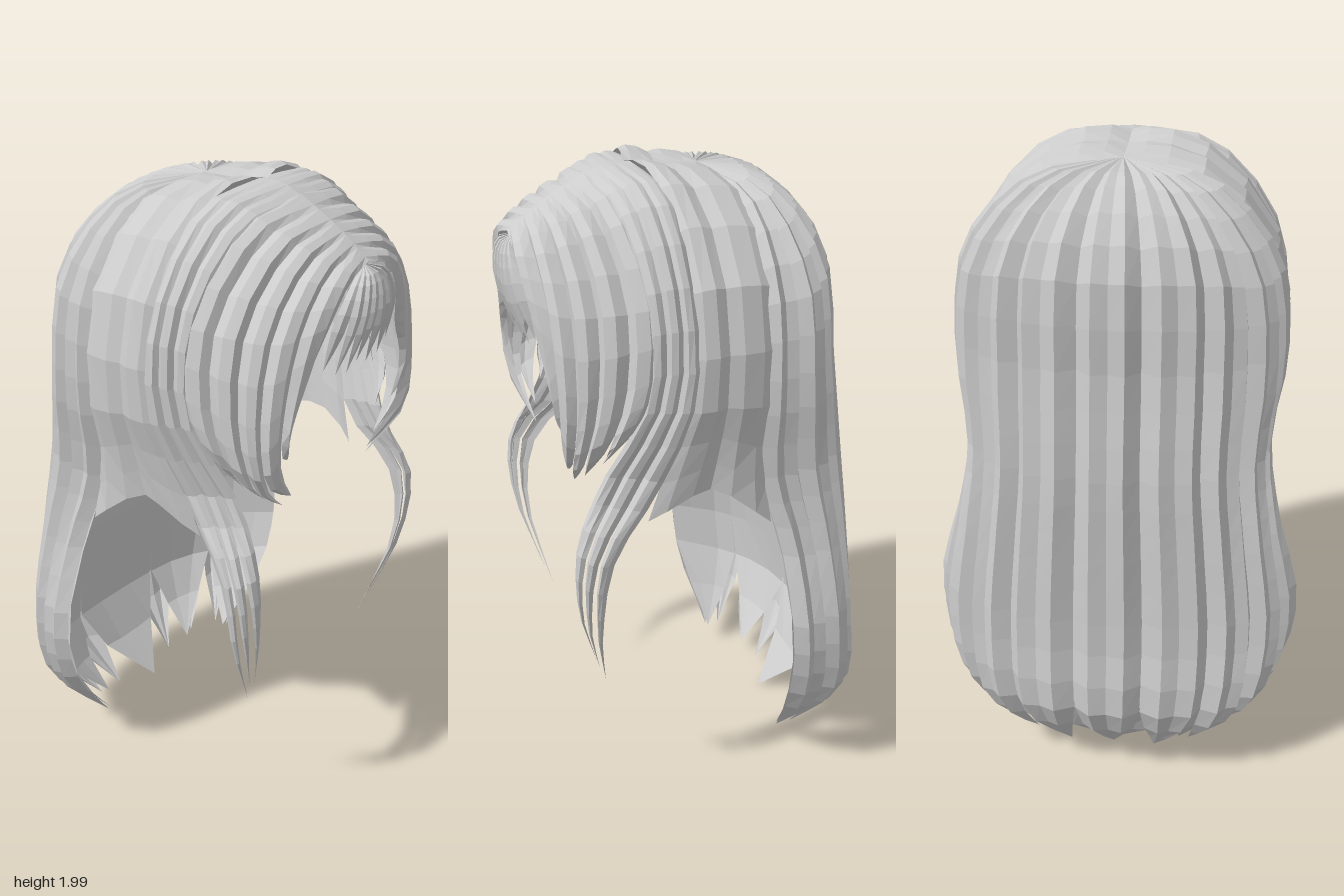
import * as THREE from 'three';

const material = new THREE.MeshStandardMaterial({ color: 0xcccccc, flatShading: true, side: THREE.DoubleSide });
const V = (p) => new THREE.Vector3(...p);
const mirrorGuide = (g) => g.map(([x, y, z]) => [-x, y, z]);

// Cross-sections of one lock: [position across, height of bulge]
const rounded = [[-1, -0.4], [-0.4, 0.4], [0.4, 0.4], [1, -0.4]];
const grooved = [[-1, -0.4], [-0.5, 0.5], [0, 0.15], [0.5, 0.5], [1, -0.4]];

// A sheet of pointed locks lofted across guide strands (root first).
// locks: count, taper: where tips start to narrow, ridge: bulge, inset: shift inward
function lockSheet(name, guides, { locks, taper, rows, ridge, profile = rounded, stagger = 0.05, inset = 0, flip = false }) {
  const strands = guides.map((g) => new THREE.CatmullRomCurve3(g.map(V)));
  const across = [];
  for (let r = 0; r <= rows; r++) {
    across.push(new THREE.CatmullRomCurve3(strands.map((s) => s.getPoint(r / rows)), false, 'catmullrom', 0.5));
  }
  const positions = [], index = [], n = profile.length;
  for (let k = 0; k < locks; k++) {
    const start = positions.length / 3, mid = (k + 0.5) / locks, half = 0.5 / locks;
    const begin = taper - stagger * (Math.min(k, locks - 1 - k) % 2);
    for (let r = 0; r <= rows; r++) {
      const v = r / rows;
      const width = taper >= 1 ? 1 : 1 - Math.pow(Math.max(0, (v - begin) / (1 - begin)), 1.6);
      for (const [c, height] of profile) {
        const p = across[r].getPoint(THREE.MathUtils.clamp(mid + c * half * width, 0, 1));
        const out = new THREE.Vector3(p.x, Math.max(0, p.y - 1.45), p.z).normalize();
        p.addScaledVector(out, Math.min(1, v * 4) * (ridge * width * height - inset));
        positions.push(p.x, p.y, p.z);
      }
    }
    for (let r = 0; r < rows; r++) {
      for (let c = 0; c < n - 1; c++) {
        const a = start + r * n + c, b = a + 1, d = a + n, e = d + 1;
        if (flip) index.push(a, b, d, b, e, d);
        else index.push(a, d, b, b, d, e);
      }
    }
  }
  const geometry = new THREE.BufferGeometry();
  geometry.setAttribute('position', new THREE.Float32BufferAttribute(positions, 3));
  geometry.setIndex(index);
  geometry.computeVertexNormals();
  const mesh = new THREE.Mesh(geometry, material);
  mesh.name = name;
  return mesh;
}

// Long hair at the back, fanning from the crown
const crown = [0, 1.955, -0.065];
const back = [
  [crown, [0.28, 1.905, -0.11], [0.46, 1.7, -0.11], [0.5, 1.4, -0.11], [0.46, 1.1, -0.12], [0.5, 0.87, -0.18], [0.58, 0.57, -0.2], [0.53, 0.33, -0.21], [0.33, 0.08, -0.23]],
  [crown, [0.24, 1.91, -0.19], [0.41, 1.7, -0.26], [0.45, 1.4, -0.28], [0.43, 1.1, -0.31], [0.46, 0.85, -0.35], [0.5, 0.55, -0.38], [0.46, 0.28, -0.39], [0.33, 0.08, -0.3]],
  [crown, [0.15, 1.92, -0.23], [0.26, 1.74, -0.36], [0.28, 1.4, -0.4], [0.28, 1.1, -0.44], [0.3, 0.85, -0.46], [0.32, 0.55, -0.48], [0.3, 0.26, -0.5], [0.2, 0.04, -0.38]],
  [crown, [0, 1.93, -0.24], [0, 1.75, -0.4], [0, 1.4, -0.44], [0, 1.1, -0.48], [0, 0.85, -0.495], [0, 0.55, -0.51], [0, 0.25, -0.53], [0, 0.005, -0.35]],
];

// Cap band over the ears, from front to back
const cap = [
  [[0, 1.975, 0.16], [0.1, 1.995, 0.14], [0.27, 1.93, 0.12], [0.45, 1.7, 0.11], [0.49, 1.4, 0.12], [0.44, 1.2, 0.17], [0.41, 0.99, 0.23]],
  [[0, 1.96, 0.06], [0.1, 1.975, 0.045], [0.27, 1.925, 0.02], [0.46, 1.71, 0.01], [0.5, 1.4, 0.01], [0.46, 1.22, 0.02], [0.44, 1.08, 0.04]],
  [[0, 1.955, -0.075], [0.1, 1.95, -0.1], [0.27, 1.905, -0.13], [0.455, 1.7, -0.135], [0.495, 1.4, -0.135], [0.455, 1.15, -0.13], [0.47, 0.95, -0.15]],
];

// Long locks in front of the shoulders
const side = [
  [[0, 1.935, 0.3], [0.23, 1.9, 0.27], [0.42, 1.68, 0.24], [0.46, 1.4, 0.25], [0.39, 1.13, 0.37], [0.41, 0.95, 0.455], [0.39, 0.75, 0.455], [0.3, 0.47, 0.37]],
  [[0, 1.97, 0.22], [0.25, 1.935, 0.19], [0.45, 1.7, 0.17], [0.48, 1.4, 0.18], [0.41, 1.12, 0.29], [0.47, 0.93, 0.42], [0.44, 0.7, 0.43], [0.34, 0.46, 0.37]],
  [[0, 1.975, 0.14], [0.26, 1.935, 0.11], [0.45, 1.7, 0.1], [0.5, 1.4, 0.11], [0.43, 1.1, 0.2], [0.47, 0.91, 0.35], [0.46, 0.67, 0.385], [0.3, 0.36, 0.33]],
];

// Face-framing locks that curl in at the cheeks
const framing = [
  [[0, 1.8, 0.515], [0.1, 1.77, 0.53], [0.17, 1.67, 0.52], [0.22, 1.55, 0.495], [0.28, 1.45, 0.48], [0.32, 1.36, 0.47]],
  [[0, 1.85, 0.45], [0.17, 1.81, 0.455], [0.31, 1.65, 0.45], [0.37, 1.4, 0.45], [0.35, 1.22, 0.45], [0.2, 1.09, 0.41]],
  [[0, 1.895, 0.38], [0.2, 1.86, 0.36], [0.38, 1.66, 0.34], [0.43, 1.4, 0.36], [0.41, 1.23, 0.4], [0.28, 1.11, 0.39]],
  [[0, 1.95, 0.28], [0.23, 1.91, 0.24], [0.43, 1.68, 0.2], [0.47, 1.45, 0.215], [0.45, 1.33, 0.26], [0.39, 1.21, 0.33]],
];

// Short fringe on the forehead
const fringe = [
  [[0, 1.79, 0.5], [0.08, 1.76, 0.52], [0.15, 1.67, 0.515], [0.19, 1.53, 0.48]],
  [[0, 1.79, 0.5], [0.06, 1.755, 0.53], [0.1, 1.65, 0.535], [0.13, 1.49, 0.49]],
  [[0, 1.79, 0.5], [0.03, 1.75, 0.535], [0.05, 1.64, 0.54], [0.06, 1.47, 0.49]],
  [[0, 1.79, 0.5], [0, 1.75, 0.535], [0, 1.64, 0.54], [0, 1.49, 0.49]],
];

const fullWidth = (half) => [...half, ...half.slice(0, -1).reverse().map(mirrorGuide)];

export function createModel() {
  const hair = new THREE.Group();
  hair.name = 'longHair';
  hair.add(lockSheet('backHair', fullWidth(back), { locks: 9, taper: 0.88, rows: 22, ridge: 0.04, profile: grooved, stagger: 0.03, flip: true }));
  // Smooth inner layer behind the neck
  hair.add(lockSheet('innerBackHair', fullWidth(back), { locks: 5, taper: 0.88, rows: 14, ridge: 0, inset: 0.02, flip: true }));
  hair.add(lockSheet('fringe', fullWidth(fringe), { locks: 7, taper: 0.65, rows: 8, ridge: 0.02 }));
  for (const [prefix, flip] of [['left', false], ['right', true]]) {
    const guides = (set) => (flip ? set.map(mirrorGuide) : set);
    hair.add(lockSheet(prefix + 'Cap', guides(cap), { locks: 2, taper: 1, rows: 10, ridge: 0.02, flip: !flip }));
    hair.add(lockSheet(prefix + 'SideLocks', guides(side), { locks: 3, taper: 0.62, rows: 18, ridge: 0.02, flip: !flip }));
    hair.add(lockSheet(prefix + 'FramingLocks', guides(framing), { locks: 5, taper: 0.78, rows: 12, ridge: 0.03, flip: !flip }));
  }
  return hair;
}
